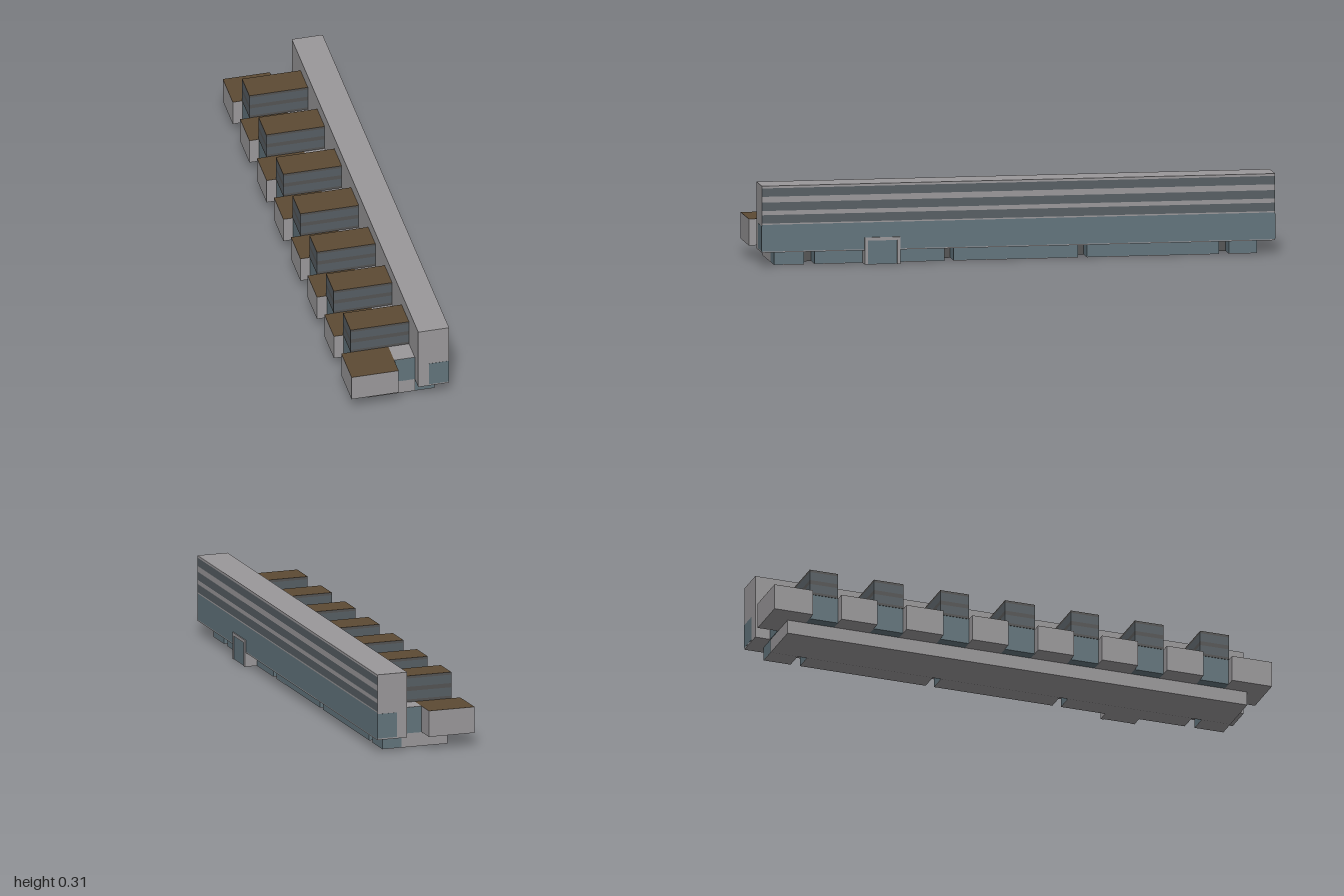
import * as THREE from 'three';

const mat = (color) => new THREE.MeshStandardMaterial({ color, flatShading: true });

export function createModel() {
  const model = new THREE.Group();
  const grey = mat(0x9a989a);
  const darkGrey = mat(0x545454);
  const glass = mat(0x62747c);
  const darkGlass = mat(0x565e63);
  const brown = mat(0x5c4a34);

  // Box from its min/max extents
  const box = (name, m, [x0, x1], [y0, y1], [z0, z1], parent = model) => {
    const mesh = new THREE.Mesh(new THREE.BoxGeometry(x1 - x0, y1 - y0, z1 - z0), m);
    mesh.position.set((x0 + x1) / 2, (y0 + y1) / 2, (z0 + z1) / 2);
    mesh.name = name;
    parent.add(mesh);
  };
  // Flush layers of alternating materials stacked between the given heights
  const stack = (name, mats, x, heights, z, parent = model) => {
    mats.forEach((m, i) => box(name, m, x, [heights[i], heights[i + 1]], z, parent));
  };

  // Long main slab with a banded skin on its outer face
  const slabZ = [-0.98, 0.984];
  box('mainSlab', grey, [0.069, 0.188], [0.054, 0.308], slabZ);
  stack('facadeBand', [grey, glass, grey, darkGlass, grey, darkGlass, grey, darkGlass, grey], [0.188, 0.189],
    [0.054, 0.058, 0.16, 0.165, 0.197, 0.213, 0.245, 0.267, 0.299, 0.308], slabZ);
  // Glazing returns around both ends of the slab
  box('endGlazingFront', glass, [0.11, 0.189], [0.06, 0.155], [0.98, slabZ[1] + 0.0008]);
  box('endGlazingBack', glass, [0.11, 0.189], [0.06, 0.155], [slabZ[0] - 0.0008, -0.976]);

  // Ground floor: solid core with glazed bays separated by dark recesses
  box('groundFloorCore', grey, [-0.115, 0.068], [0, 0.055], [-0.918, 0.93]);
  box('recessWall', darkGrey, [0.068, 0.069], [0, 0.055], [-0.918, 0.93]);
  const bays = [[-0.918, -0.81], [-0.772, -0.267], [-0.233, 0.243], [0.277, 0.775], [0.815, 0.93]];
  for (const z of bays) {
    box('groundFloorGlazing', glass, [0.069, 0.145], [0.002, 0.055], z);
    box('bayFloor', grey, [0.069, 0.145], [0, 0.002], z);
  }

  // Entrance porch: framed box with a glass front
  const porch = new THREE.Group();
  porch.name = 'entrancePorch';
  model.add(porch);
  box('porchGlass', glass, [0.145, 0.191], [0.002, 0.091], [0.467, 0.579], porch);
  box('porchPostBack', grey, [0.145, 0.194], [0, 0.103], [0.455, 0.467], porch);
  box('porchPostFront', grey, [0.145, 0.194], [0, 0.103], [0.579, 0.591], porch);
  box('porchLintel', grey, [0.145, 0.194], [0.091, 0.103], [0.467, 0.579], porch);
  box('porchFloor', grey, [0.145, 0.191], [0, 0.002], [0.467, 0.579], porch);

  // Glazed corridor linking slab and blocks
  stack('corridor', [glass, grey], [-0.011, 0.069], [0.054, 0.154, 0.155], [-0.92, 0.93]);

  // Alternating low and raised blocks along the right side
  const cuts = [-1, -0.845, -0.731, -0.587, -0.469, -0.32, -0.205, -0.06,
    0.06, 0.205, 0.317, 0.462, 0.578, 0.725, 0.84, 1];
  for (let i = 0; i < 15; i++) {
    const z = [cuts[i], cuts[i + 1]];
    const block = new THREE.Group();
    block.name = i % 2 ? 'raisedBlock' : 'lowBlock';
    model.add(block);
    if (i % 2 === 0) {
      stack('lowBlockLayer', [grey, brown], [-0.194, -0.011], [0.054, 0.1545, 0.155], z, block);
    } else {
      box('infillGlazing', glass, [-0.156, -0.011], [0.054, 0.155], z, block);
      stack('raisedBlockLayer', [darkGrey, darkGlass, darkGrey, darkGlass, darkGrey, brown], [-0.158, 0.069],
        [0.155, 0.165, 0.198, 0.214, 0.247, 0.2565, 0.257], z, block);
    }
  }
  return model;
}
